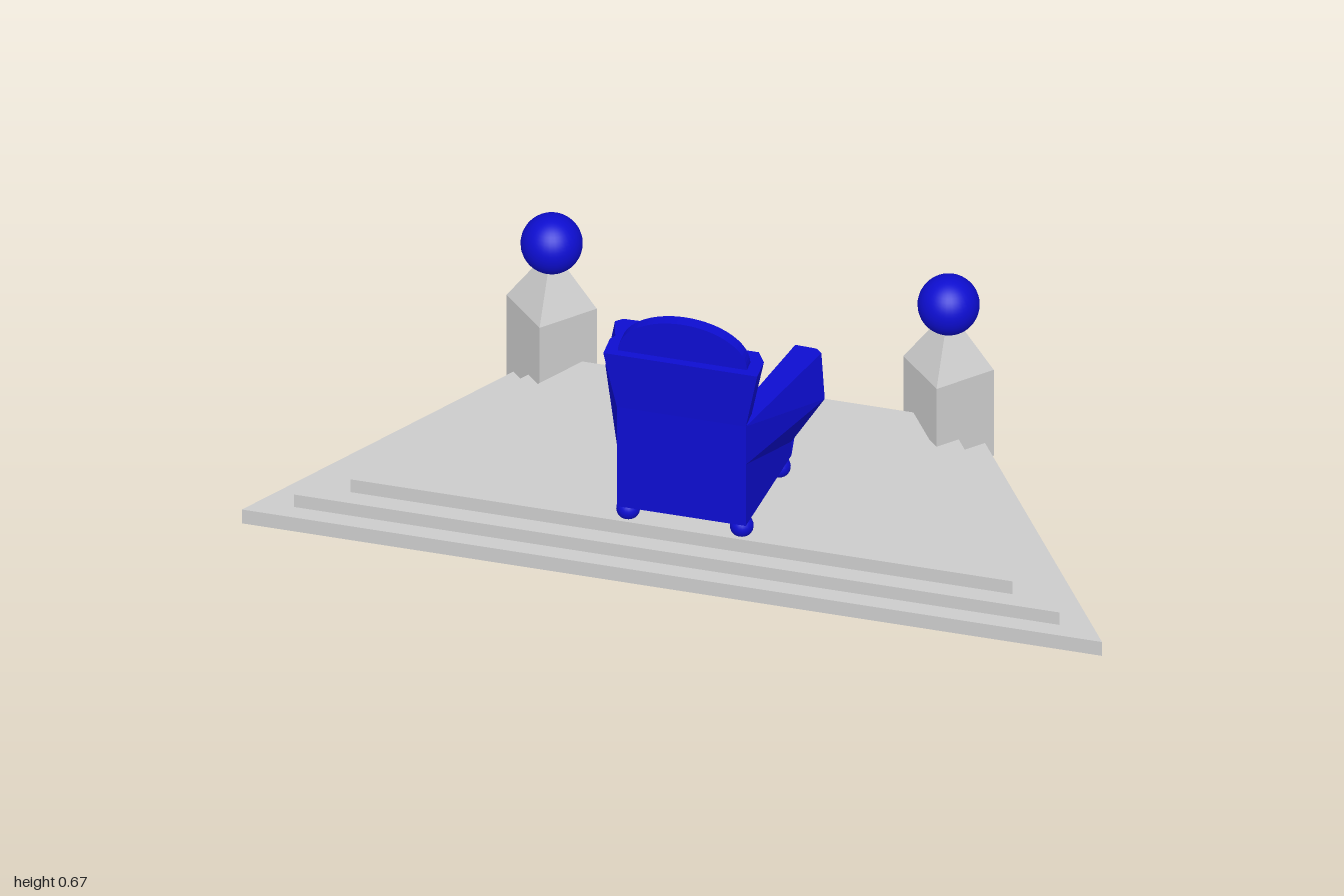
import * as THREE from 'three';

const grey = new THREE.MeshStandardMaterial({ color: 0xcccccc, flatShading: true });
const blue = new THREE.MeshStandardMaterial({ color: 0x0d0dd0, flatShading: true });
const blueSmooth = new THREE.MeshStandardMaterial({ color: 0x0d0dd0 });

// Closed solid through rings of [x, y, z] points, turned outward by its signed volume
function loft(rings) {
  const tris = [];
  const n = rings[0].length;
  const v = rings.map(r => r.map(p => new THREE.Vector3(...p)));
  for (let i = 0; i < v.length - 1; i++) {
    for (let j = 0; j < n; j++) {
      const k = (j + 1) % n;
      tris.push([v[i][j], v[i][k], v[i + 1][k]], [v[i][j], v[i + 1][k], v[i + 1][j]]);
    }
  }
  const cap = (ring, flip) => {
    const c = new THREE.Vector3();
    ring.forEach(p => c.addScaledVector(p, 1 / n));
    ring.forEach((p, j) => {
      const q = ring[(j + 1) % n];
      tris.push(flip ? [c, q, p] : [c, p, q]);
    });
  };
  cap(v[0], true);
  cap(v[v.length - 1], false);
  const volume = tris.reduce((s, [a, b, c]) => s + a.dot(b.clone().cross(c)), 0);
  const points = tris.flatMap(t => (volume < 0 ? [t[0], t[2], t[1]] : t));
  const geo = new THREE.BufferGeometry().setFromPoints(points);
  geo.computeVertexNormals();
  return geo;
}

function add(parent, name, geo, mat, x = 0, y = 0, z = 0) {
  const mesh = new THREE.Mesh(geo, mat);
  mesh.name = name;
  mesh.position.set(x, y, z);
  parent.add(mesh);
  return mesh;
}

// Symmetric plan outline at height y from half-width and z pairs
const plan = (y, half) => [
  ...half.map(([x, z]) => [x, y, z]),
  ...half.slice().reverse().map(([x, z]) => [-x, y, z]),
];

function createDais() {
  const dais = new THREE.Group();
  dais.name = 'dais';
  // bottom, top, front half-width, front z, back half-width, back z
  const steps = [
    [0.005, 0.043, 1, 0.4, 0.5, -0.35],
    [0.043, 0.077, 0.89, 0.36, 0.45, -0.305],
    [0.077, 0.112, 0.77, 0.318, 0.385, -0.26],
  ];
  steps.forEach(([y0, y1, fx, fz, bx, bz], i) => {
    const half = [[fx, fz], [bx, bz]];
    add(dais, 'step' + (i + 1), loft([plan(y0, half), plan(y1, half)]), grey);
  });
  return dais;
}

function createPost(name, x) {
  const post = new THREE.Group();
  post.name = name;
  post.position.set(x, 0, -0.297);
  add(post, 'shaft', new THREE.CylinderGeometry(0.105, 0.105, 0.236, 4), grey, 0, 0.118);
  add(post, 'taperedCap', new THREE.CylinderGeometry(0.034, 0.105, 0.1, 4), grey, 0, 0.286);
  add(post, 'ball', new THREE.SphereGeometry(0.07, 32, 24), blueSmooth, 0, 0.397);
  return post;
}

function createChair() {
  const chair = new THREE.Group();
  chair.name = 'armchair';

  // Seat block, wider towards its open side
  const seat = [[0.157, 0.018], [0.115, 0.25]];
  add(chair, 'seat', loft([plan(0.152, seat), plan(0.31, seat)]), blue);

  // Lower back, then flared upper back with chamfered front corners
  const low = [[0.15, 0.319], [0.15, 0.268], [0.125, 0.243]];
  const top = [[0.179, 0.328], [0.179, 0.27], [0.158, 0.235]];
  add(chair, 'backrest', loft([plan(0.152, low), plan(0.425, low), plan(0.574, top)]), blue);

  // Half-oval crest
  const arch = new THREE.Shape();
  arch.moveTo(0.15, 0);
  arch.absellipse(0, 0, 0.15, 0.097, 0, Math.PI, false);
  arch.closePath();
  const crest = new THREE.ExtrudeGeometry(arch, { depth: 0.03, bevelEnabled: false, curveSegments: 16 });
  add(chair, 'crest', crest, blue, 0, 0.574, 0.279);

  // Arms: bulged section at the open end, straight section at the back
  const open = [
    [0.178, 0.152, 0.027], [0.178, 0.19, 0.027], [0.255, 0.32, 0.025], [0.24, 0.425, -0.002],
    [0.225, 0.425, -0.016], [0.175, 0.425, -0.018], [0.157, 0.31, 0.015], [0.155, 0.152, 0.015],
  ];
  const back = [
    [0.15, 0.152], [0.15, 0.19], [0.15, 0.32], [0.15, 0.425],
    [0.14, 0.425], [0.105, 0.425], [0.1, 0.31], [0.1, 0.152],
  ].map(([x, y]) => [x, y, 0.318]);
  for (const s of [1, -1]) {
    const side = s > 0 ? 'left' : 'right';
    const flip = ring => ring.map(([x, y, z]) => [s * x, y, z]);
    add(chair, side + 'Arm', loft([flip(open), flip(back)]), blue);
    // Ball feet
    const foot = new THREE.SphereGeometry(0.027, 20, 14);
    add(chair, side + 'FrontFoot', foot, blueSmooth, s * 0.153, 0.129, 0.043);
    add(chair, side + 'BackFoot', foot, blueSmooth, s * 0.132, 0.129, 0.287);
  }
  return chair;
}

export function createModel() {
  const model = new THREE.Group();
  model.name = 'chairOnDais';
  model.add(createDais(), createPost('leftPost', 0.457), createPost('rightPost', -0.466), createChair());
  return model;
}
